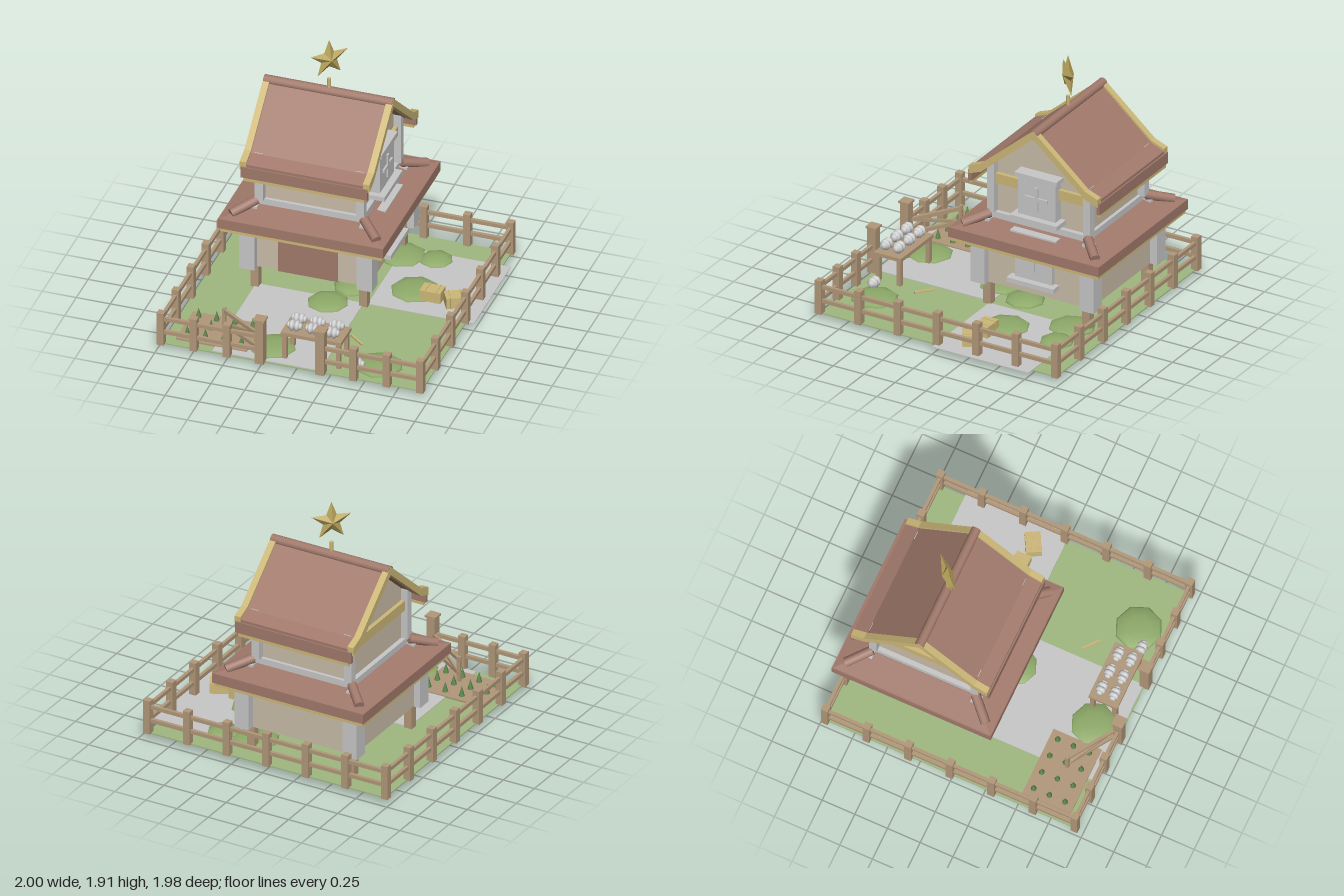
import * as THREE from 'three';

const mat = (name, color, side = THREE.FrontSide) => {
  const m = new THREE.MeshStandardMaterial({ color, side });
  m.name = name;
  return m;
};

export function createModel() {
  const root = new THREE.Group();
  root.name = 'farmhouse';
  const grass = mat('grass', 0xa0b880), leaf = mat('leaf', 0x8fab6a), crop = mat('crop', 0x5f8a52);
  const stone = mat('stone', 0xc8c8c8), wall = mat('wall', 0xcabda8), roof = mat('roof', 0xa27a6c);
  const wood = mat('wood', 0xb2987a), gold = mat('gold', 0xcdb878), star = mat('star', 0xb8a45c);
  const pale = mat('pale', 0xd2d2d2);

  const add = (parent, name, geo, material, x = 0, y = 0, z = 0) => {
    const m = new THREE.Mesh(geo, material);
    m.name = name;
    m.position.set(x, y, z);
    parent.add(m);
    return m;
  };
  // Box given by its lower and upper limits on each axis
  const box = (parent, name, material, x0, x1, y0, y1, z0, z1) =>
    add(parent, name, new THREE.BoxGeometry(x1 - x0, y1 - y0, z1 - z0), material,
      (x0 + x1) / 2, (y0 + y1) / 2, (z0 + z1) / 2);
  const group = (name, x = 0, y = 0, z = 0) => {
    const g = new THREE.Group();
    g.name = name;
    g.position.set(x, y, z);
    root.add(g);
    return g;
  };
  // Profile in (z, y), extruded along x
  const extrudeX = (points, x0, x1) => {
    const shape = new THREE.Shape(points.map(p => new THREE.Vector2(...p)));
    const geo = new THREE.ExtrudeGeometry(shape, { depth: x1 - x0, bevelEnabled: false });
    return geo.rotateY(-Math.PI / 2).translate(x1, 0, 0);
  };
  // Square bar between two points
  const bar = (parent, name, material, a, b, w, h) => {
    const p = new THREE.Vector3(...a), q = new THREE.Vector3(...b);
    const m = add(parent, name, new THREE.BoxGeometry(w, h, p.distanceTo(q)), material);
    m.position.copy(p).add(q).multiplyScalar(0.5);
    m.lookAt(q);
    return m;
  };

  // Yard
  const yard = group('yard');
  box(yard, 'lawn', grass, -0.97, 0.94, 0.047, 0.055, -0.97, 0.94);
  box(yard, 'frontPath', stone, -0.6, 0.19, 0.055, 0.06, 0.0, 0.93);
  box(yard, 'sidePatio', stone, 0.22, 1.0, 0.055, 0.06, -0.78, 0.0);
  for (const [x, z, r] of [[-0.22, 0.74, 0.18], [0.555, 0.725, 0.18], [0.47, -0.28, 0.19], [0.48, -0.7, 0.13],
    [0.24, -0.68, 0.18], [0.05, -0.19, 0.15], [-0.05, 0.07, 0.16]]) {
    add(yard, 'bush', new THREE.SphereGeometry(r, 8, 6), leaf, x, 0.046, z).scale.y = 0.046 / r;
  }

  // Vegetable bed
  const bed = group('vegetableBed');
  box(bed, 'soil', wood, -0.89, -0.37, 0.042, 0.068, 0.5, 0.87);
  for (let i = 0; i < 4; i++) for (let j = 0; j < 3; j++) {
    add(bed, 'sprout', new THREE.ConeGeometry(0.022, 0.08, 6), crop, -0.83 + i * 0.133, 0.106, 0.56 + j * 0.12);
  }

  // Fence
  const fence = group('fence');
  const post = (x, z) => box(fence, 'fencePost', wood, x - 0.026, x + 0.026, 0.05, 0.31, z - 0.026, z + 0.026);
  for (let i = 0; i < 7; i++) post(-0.972 + i * 0.318, -0.965);
  for (const x of [-0.972, 0.936]) for (let i = 1; i < 6; i++) post(x, -0.965 + i * 0.318);
  for (const x of [-0.972, -0.73, -0.485, 0.445, 0.69, 0.936]) post(x, 0.943);
  for (const y of [0.258, 0.152]) {
    const rail = (...a) => box(fence, 'rail', wood, a[0], a[1], y - 0.014, y + 0.014, a[2], a[3]);
    rail(-0.972, 0.936, -0.977, -0.953);
    rail(-0.972, -0.24, 0.931, 0.955);
    rail(0.2, 0.936, 0.931, 0.955);
    for (const x of [-0.972, 0.936]) rail(x - 0.012, x + 0.012, -0.965, 0.943);
    bar(fence, 'gateRail', wood, [-0.25, y, 0.93], [-0.6, y, 0.7], 0.022, 0.028);
  }
  for (const x of [-0.243, 0.203]) {
    box(fence, 'gatePost', wood, x - 0.033, x + 0.033, 0.05, 0.395, 0.91, 0.976);
    box(fence, 'gatePostCap', wood, x - 0.042, x + 0.042, 0.395, 0.41, 0.901, 0.985);
  }
  bar(fence, 'gateBrace', wood, [-0.26, 0.26, 0.92], [-0.59, 0.15, 0.71], 0.018, 0.022);
  bar(fence, 'gateEnd', wood, [-0.59, 0.09, 0.707], [-0.59, 0.28, 0.708], 0.025, 0.025);

  // Produce stand
  const stand = group('produceStand');
  box(stand, 'standTop', wood, -0.12, 0.325, 0.248, 0.275, 0.65, 0.87);
  for (const x of [-0.095, 0.3]) for (const z of [0.675, 0.845]) {
    box(stand, 'standLeg', wood, x - 0.016, x + 0.016, 0.055, 0.25, z - 0.016, z + 0.016);
  }
  const produce = (x, y, z) => {
    for (const [dx, r] of [[-0.042, 0.026], [-0.018, 0.041], [0.018, 0.041], [0.042, 0.026]]) {
      const m = add(stand, 'produceLobe', new THREE.SphereGeometry(r, 7, 6), pale, x + dx, y, z);
      m.scale.x = 0.6;
    }
  };
  for (const x of [-0.035, 0.1, 0.24]) for (const z of [0.715, 0.815]) produce(x, 0.316, z);
  produce(0.42, 0.097, 0.81);

  // Straw bales and a loose stick
  for (const [x, z, a] of [[0.62, -0.215, 0], [0.8, -0.195, 0.5]]) {
    const bale = group('strawBale', x, 0.1, z);
    bale.rotation.y = a;
    box(bale, 'bale', gold, -0.077, 0.077, -0.045, 0.042, -0.055, 0.055);
    for (const s of [-1, 1]) box(bale, 'strap', gold, s * 0.04 - 0.006, s * 0.04 + 0.006, -0.045, 0.046, -0.058, 0.058);
  }
  bar(yard, 'stick', gold, [0.25, 0.063, 0.43], [0.36, 0.063, 0.52], 0.014, 0.014);

  // House, symmetric about its own centre
  const house = group('house', -0.2, 0, -0.388);
  const sq = (name, material, h, y0, y1) => box(house, name, material, -h, h, y0, y1, -h, h);
  const corners = fn => { for (const sx of [-1, 1]) for (const sz of [-1, 1]) fn(sx, sz); };
  const column = (name, material, x, z, w, y0, y1) =>
    box(house, name, material, x - w, x + w, y0, y1, z - w, z + w);

  // Ground floor on stilts
  sq('lowerWalls', wall, 0.44, 0.235, 0.58);
  corners((sx, sz) => {
    column('stilt', wood, sx * 0.4, sz * 0.4, 0.03, 0.05, 0.24);
    column('lowerPillar', stone, sx * 0.433, sz * 0.44, 0.057, 0.232, 0.58);
  });
  box(house, 'door', roof, -0.22, 0.22, 0.232, 0.545, 0.43, 0.449);
  box(house, 'doorLintel', stone, -0.24, 0.24, 0.542, 0.575, 0.43, 0.462);

  // Skirt roof between floors
  sq('skirtTrim', gold, 0.595, 0.57, 0.602);
  sq('skirtFascia', roof, 0.608, 0.6, 0.675);
  const slope = new THREE.CylinderGeometry(0.39 * Math.SQRT2, 0.6 * Math.SQRT2, 0.04, 4).toNonIndexed();
  slope.computeVertexNormals();
  add(house, 'skirtSlope', slope.rotateY(Math.PI / 4), roof, 0, 0.695, 0);
  sq('plinth', stone, 0.385, 0.69, 0.762);
  corners((sx, sz) => {
    const roll = add(house, 'cornerRoll', new THREE.CylinderGeometry(0.035, 0.035, 0.21, 10), roof, sx * 0.465, 0.722, sz * 0.465);
    roll.quaternion.setFromUnitVectors(new THREE.Vector3(0, 1, 0), new THREE.Vector3(-sx, 0.42, -sz).normalize());
    column('cornerBlock', stone, sx * 0.41, sz * 0.41, 0.034, 0.68, 0.722);
  });

  // Upper floor with gable
  add(house, 'upperWalls', extrudeX([[-0.36, 0.75], [0.36, 0.75], [0.36, 1.16], [0, 1.47], [-0.36, 1.16]], -0.35, 0.35), wall);
  corners((sx, sz) => {
    const x = sx * 0.372, z = sz * 0.388;
    box(house, 'upperPillar', stone, x - 0.03, x + 0.03, 0.76, 1.15, z - 0.028, z + 0.028);
  });
  for (const s of [-1, 1]) box(house, 'gableBeam', gold, s * 0.36 - 0.02, s * 0.36 + 0.02, 0.985, 1.06, -0.36, 0.36);

  // Main roof
  const outer = [[0, 1.505], [0.42, 1.143], [0.52, 1.105]];
  const profile = (up, drop) => {
    const top = outer.map(([z, y]) => [z, y + up]), low = outer.map(([z, y]) => [z, y - drop]).reverse();
    const flip = a => a.map(([z, y]) => [-z, y]);
    return [...top, ...low, ...flip(low.slice(0, 2).reverse()), ...flip(top.slice(1).reverse())];
  };
  add(house, 'mainRoof', extrudeX(profile(0, 0.04), -0.43, 0.43), roof);
  for (const s of [-1, 1]) {
    add(house, 'bargeboard', extrudeX(profile(0.018, 0.045), s * 0.453 - 0.024, s * 0.453 + 0.024), gold);
    const z = s * 0.518;
    box(house, 'eaveFascia', roof, -0.465, 0.465, 1.0, 1.085, z - 0.013, z + 0.013);
    box(house, 'eaveTrim', gold, -0.445, 0.445, 0.975, 1.0, z - 0.01, z + 0.01);
  }
  add(house, 'ridgeRoll', new THREE.CylinderGeometry(0.035, 0.035, 0.95, 12), roof, 0, 1.49, 0).rotation.z = Math.PI / 2;

  // Windows on the left side
  const windowSet = (x, yLow, yTop, yCross, sill) => {
    box(house, 'windowPanel', stone, x - 0.1, x, yLow, yTop, -0.15, 0.15);
    box(house, 'windowSill', stone, x - 0.1, x + 0.05, sill, sill + 0.035, -0.19, 0.19);
    box(house, 'windowBarUpright', stone, x, x + 0.014, yCross - 0.09, yCross + 0.09, -0.013, 0.013);
    box(house, 'windowBarAcross', stone, x, x + 0.014, yCross - 0.013, yCross + 0.013, -0.09, 0.09);
  };
  windowSet(0.47, 0.33, 0.575, 0.515, 0.32);
  windowSet(0.425, 0.8, 1.13, 0.97, 0.79);
  box(house, 'windowLintel', stone, 0.34, 0.445, 1.12, 1.15, -0.17, 0.17);
  box(house, 'windowLedge', stone, 0.36, 0.48, 0.685, 0.71, -0.185, 0.185);

  // Rooftop star, faceted around raised centres
  add(house, 'starRod', new THREE.CylinderGeometry(0.014, 0.014, 0.1, 8), gold, 0, 1.545, 0);
  const rim = i => {
    const a = Math.PI / 2 + i * Math.PI / 5, r = i % 2 ? 0.064 : 0.152;
    return [r * Math.cos(a), r * Math.sin(a), 0];
  };
  const pos = [];
  for (let i = 0; i < 10; i++) {
    pos.push(...rim(i), ...rim(i + 1), 0, 0, 0.042);
    pos.push(...rim(i + 1), ...rim(i), 0, 0, -0.042);
  }
  const starGeo = new THREE.BufferGeometry();
  starGeo.setAttribute('position', new THREE.Float32BufferAttribute(pos, 3));
  starGeo.computeVertexNormals();
  add(house, 'roofStar', starGeo, star, 0, 1.757, 0).rotation.y = Math.PI / 4;

  return root;
}
